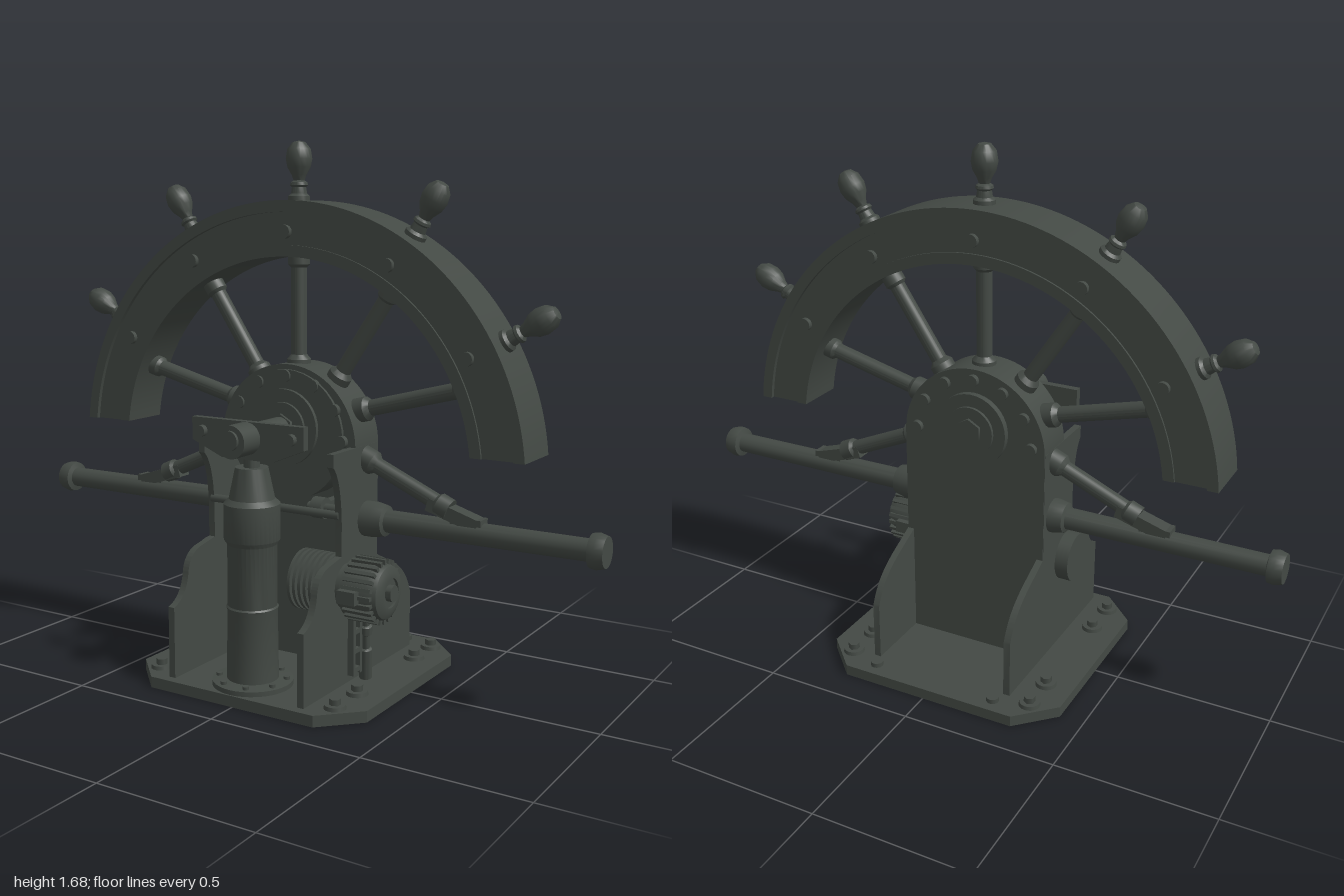
import * as THREE from 'three';
import { toCreasedNormals } from 'three/addons/utils/BufferGeometryUtils.js';

export function createModel() {
  const root = new THREE.Group();
  root.name = 'halfWheelMachine';
  const body = new THREE.Group();
  body.name = 'machine';
  body.position.x = -0.012;
  root.add(body);
  const iron = new THREE.MeshStandardMaterial({ color: 0x434944 });
  iron.name = 'dark iron';

  // Helpers
  const add = (name, geo, x = 0, y = 0, z = 0, parent = body) => {
    const m = new THREE.Mesh(geo, iron);
    m.name = name;
    m.position.set(x, y, z);
    parent.add(m);
    return m;
  };
  const box = (name, w, h, d, x, y, z) => add(name, new THREE.BoxGeometry(w, h, d), x, y, z);
  const cylX = (r, l, n = 28) => new THREE.CylinderGeometry(r, r, l, n).rotateZ(-Math.PI / 2);
  const cylZ = (r, l, n = 28) => new THREE.CylinderGeometry(r, r, l, n).rotateX(Math.PI / 2);
  const lathe = (pts, n = 28) =>
    toCreasedNormals(new THREE.LatheGeometry(pts.map(p => new THREE.Vector2(p[0], p[1])), n), 0.6);
  const plate = (shape, depth) => toCreasedNormals(
    new THREE.ExtrudeGeometry(shape, { depth, bevelEnabled: false, curveSegments: 40 })
      .translate(0, 0, -depth / 2), 0.5);
  const poly = pts => new THREE.Shape(pts.map(p => new THREE.Vector2(p[0], p[1])));
  const up = new THREE.Vector3(0, 1, 0);
  // Lathe profile laid from point a towards point b
  const along = (name, a, b, profile, parent = body) => {
    const m = add(name, lathe(profile, 20), a[0], a[1], a[2], parent);
    const d = new THREE.Vector3(b[0] - a[0], b[1] - a[1], b[2] - a[2]).normalize();
    m.quaternion.setFromUnitVectors(up, d);
    return m;
  };
  const dist = (a, b) => Math.hypot(b[0] - a[0], b[1] - a[1], b[2] - a[2]);

  // Base plate with cut corners
  const c = 0.115;
  add('basePlate', plate(poly([[-0.41, -0.395 + c], [-0.41 + c, -0.395], [0.41 - c, -0.395], [0.41, -0.395 + c],
    [0.41, 0.395 - c], [0.41 - c, 0.395], [-0.41 + c, 0.395], [-0.41, 0.395 - c]]), 0.035)
    .rotateX(-Math.PI / 2), 0, 0.0175, 0);
  for (const s of [-1, 1]) {
    for (const z of [-0.31, -0.19, 0.18, 0.31]) {
      add('baseWasher', new THREE.CylinderGeometry(0.032, 0.034, 0.012, 20), s * 0.32, 0.041, z);
      add('baseBolt', new THREE.CylinderGeometry(0.018, 0.018, 0.02, 6), s * 0.32, 0.055, z);
    }
    add('smallBaseBolt', new THREE.CylinderGeometry(0.02, 0.02, 0.015, 12), s * 0.21, 0.042, -0.345);
  }

  // Side plates, drawn with z along the shape's x axis
  const side = new THREE.Shape();
  side.moveTo(-0.3, 0.03);
  side.lineTo(0.365, 0.03);
  side.lineTo(0.365, 0.26);
  side.quadraticCurveTo(0.3, 0.28, 0.29, 0.36);
  side.quadraticCurveTo(0.28, 0.41, 0.23, 0.425);
  side.lineTo(0.15, 0.44);
  side.lineTo(0.15, 0.54);
  side.quadraticCurveTo(0.155, 0.68, 0.2, 0.72);
  side.lineTo(0.2, 0.76);
  side.lineTo(-0.07, 0.76);
  side.lineTo(-0.07, 0.4);
  side.bezierCurveTo(-0.17, 0.35, -0.26, 0.33, -0.3, 0.22);
  for (const s of [-1, 1])
    add('sidePlate', plate(side, 0.022).rotateY(-Math.PI / 2), s * 0.235, 0, 0);

  // Back panel and arched hub housing
  const arch = y => {
    const sh = new THREE.Shape();
    sh.moveTo(-0.245, y);
    sh.lineTo(0.245, y);
    sh.absarc(0, 0.755, 0.245, 0, Math.PI, false);
    return sh;
  };
  add('backPanel', plate(arch(0.03), 0.05), 0, 0, -0.047);
  add('hubHousing', plate(arch(0.755), 0.14));
  add('hubDrum', cylZ(0.205, 0.15, 40), 0, 0.78, 0.005);
  for (const s of [-1, 1]) {
    add('hubFlange', cylZ(0.12, 0.03, 36), 0, 0.805, s * 0.078);
    add('hubRing', cylZ(0.08, 0.03, 32), 0, 0.805, s * 0.088);
    add('axleNut', cylZ(0.045, 0.03, 6), 0, 0.805, s * 0.098);
    for (let i = 0; i < 7; i++) {
      const a = Math.PI * i / 6;
      add('hubRivet', cylZ(0.02, 0.02, 14), 0.2 * Math.cos(a), 0.775 + 0.19 * Math.sin(a), s * 0.078);
    }
  }

  // Axle, front crosshead and bearing
  add('axle', cylZ(0.036, 0.3), 0, 0.805, 0.2);
  add('bearing', cylZ(0.05, 0.1), 0, 0.8, 0.325);
  add('axleTip', cylZ(0.03, 0.02), 0, 0.805, 0.375);
  add('crosshead', plate(poly([[-0.2, 0.85], [-0.2, 0.78], [-0.09, 0.735], [0.09, 0.735],
    [0.2, 0.78], [0.2, 0.85]]), 0.025), 0, 0, 0.28);
  for (const s of [-1, 1]) add('crossheadBolt', cylZ(0.018, 0.02, 12), s * 0.16, 0.81, 0.3);
  add('crossBar', cylX(0.013, 0.47, 12), 0, 0.565, 0.145);

  // Piston post under the axle
  add('piston', lathe([[0, 0.035], [0.125, 0.035], [0.125, 0.05], [0.08, 0.055], [0.077, 0.27], [0.08, 0.28],
    [0.076, 0.285], [0.076, 0.475], [0.086, 0.49], [0.086, 0.6], [0.07, 0.615], [0.05, 0.71], [0.025, 0.71],
    [0.025, 0.77], [0, 0.77]], 36), 0, 0, 0.265);
  for (let i = 0; i < 8; i++) {
    const a = (i + 0.5) * Math.PI / 4;
    add('flangeBolt', new THREE.CylinderGeometry(0.01, 0.01, 0.012, 6),
      0.105 * Math.cos(a), 0.055, 0.265 + 0.105 * Math.sin(a));
  }

  // Half wheel rim: core with raised outer and inner bands
  const wy = 0.7;
  const arc = (R, r) => {
    const sh = new THREE.Shape(), a = Math.asin(0.07 / R), b = Math.asin(0.07 / r);
    sh.absarc(0, wy, R, a, Math.PI - a, false);
    sh.absarc(0, wy, r, Math.PI - b, b, true);
    return sh;
  };
  add('rimCore', plate(arc(0.79, 0.64), 0.15));
  add('rimOuterBand', plate(arc(0.8, 0.765), 0.176));
  add('rimInnerBand', plate(arc(0.665, 0.63), 0.164));

  // Handles and rim rivets
  const handle = [[0, -0.02], [0.034, -0.02], [0.034, 0.012], [0.025, 0.02], [0.022, 0.04], [0.028, 0.046],
    [0.026, 0.054], [0.017, 0.06], [0.022, 0.075], [0.036, 0.1], [0.041, 0.125], [0.036, 0.155],
    [0.02, 0.175], [0, 0.18]];
  for (const deg of [30, 60, 90, 120, 150]) {
    const a = deg * Math.PI / 180, cx = Math.cos(a), sy = Math.sin(a);
    along('handle', [0.8 * cx, wy + 0.8 * sy, 0], [cx, wy + sy, 0], handle);
    for (const s of [-1, 1])
      add('rimRivet', cylZ(0.021, 0.02, 16), 0.705 * cx, wy + 0.705 * sy, s * 0.08);
  }

  // Spokes with collars at both ends
  const spoke = (a, b) => {
    const l = dist(a, b);
    along('spoke', a, b, [[0, 0], [0.038, 0], [0.038, 0.05], [0.025, 0.065], [0.025, l - 0.05],
      [0.034, l - 0.04], [0.034, l], [0, l]]);
  };
  spoke([0, 0.96, 0], [0, 1.345, 0]);
  for (const s of [-1, 1]) {
    spoke([s * 0.125, 0.93, 0], [s * 0.335, 1.245, 0]);
    spoke([s * 0.2, 0.86, 0], [s * 0.59, 0.96, 0]);
    // Lower strut, clamped to the bar
    spoke([s * 0.225, 0.725, 0], [s * 0.53, 0.59, 0]);
    const clamp = box('strutClamp', 0.17, 0.04, 0.05, s * 0.545, 0.58, 0);
    clamp.rotation.z = -s * 0.3;
    box('strutFoot', 0.1, 0.02, 0.05, s * 0.59, 0.566, 0);
    // Horizontal bar with end knob
    along('sideBar', [s * 0.22, 0.53, 0], [s, 0.53, 0], [[0, 0], [0.055, 0], [0.055, 0.05], [0.048, 0.085],
      [0.035, 0.09], [0.033, 0.73], [0.05, 0.735], [0.053, 0.755], [0.046, 0.78], [0, 0.78]], root);
  }

  // Motor on the left side plate
  const my = 0.345, mz = 0.12;
  add('motorDrum', lathe([[0, 0.225], [0.07, 0.225], [0.07, 0.265], [0.09, 0.27], [0.092, 0.36], [0.08, 0.39],
    [0.06, 0.4], [0.045, 0.4], [0.045, 0.392], [0.025, 0.392], [0.025, 0.41], [0, 0.41]], 32)
    .rotateZ(-Math.PI / 2), 0, my, mz);
  for (let i = 0; i < 24; i++) {
    const pivot = new THREE.Group();
    pivot.name = 'motorFin';
    pivot.position.set(0, my, mz);
    pivot.rotation.x = i * Math.PI / 12;
    body.add(pivot);
    add('fin', new THREE.BoxGeometry(0.1, 0.025, 0.011), 0.33, 0.087, 0, pivot);
  }
  for (const s of [-1, 1]) box('motorEar', 0.06, 0.04, 0.03, 0.31, my, mz + s * 0.103);
  add('motorCore', cylX(0.075, 0.15), 0.155, my, mz);
  for (let i = 0; i < 7; i++) add('coolingRing', cylX(0.094, 0.01), 0.095 + i * 0.019, my, mz);
  add('sideBoss', cylX(0.08, 0.05, 32), -0.265, 0.34, 0.1);

  // Motor bracket and feed pipe
  for (const z of [0.105, 0.145]) box('bracketLeg', 0.02, 0.2, 0.014, 0.28, 0.175, z);
  for (const y of [0.09, 0.15, 0.21]) box('bracketRung', 0.02, 0.015, 0.04, 0.28, y, 0.125);
  along('feedPipe', [0.275, 0.04, 0.05], [0.3, 0.28, 0.095], [[0, 0], [0.02, 0], [0.02, 0.1], [0.013, 0.105],
    [0.013, 0.15], [0.02, 0.155], [0.02, 0.18], [0.013, 0.185], [0.013, 0.24], [0, 0.24]]);

  // Small valves inside the housing
  for (const y of [0.18, 0.57]) {
    add('valveStem', cylX(0.015, 0.13, 14), 0.165, y, 0.1);
    add('valveBody', cylX(0.033, 0.04, 18), 0.14, y, 0.1);
    box('valveMount', 0.03, 0.03, 0.13, 0.14, y, 0.04);
  }
  return root;
}
